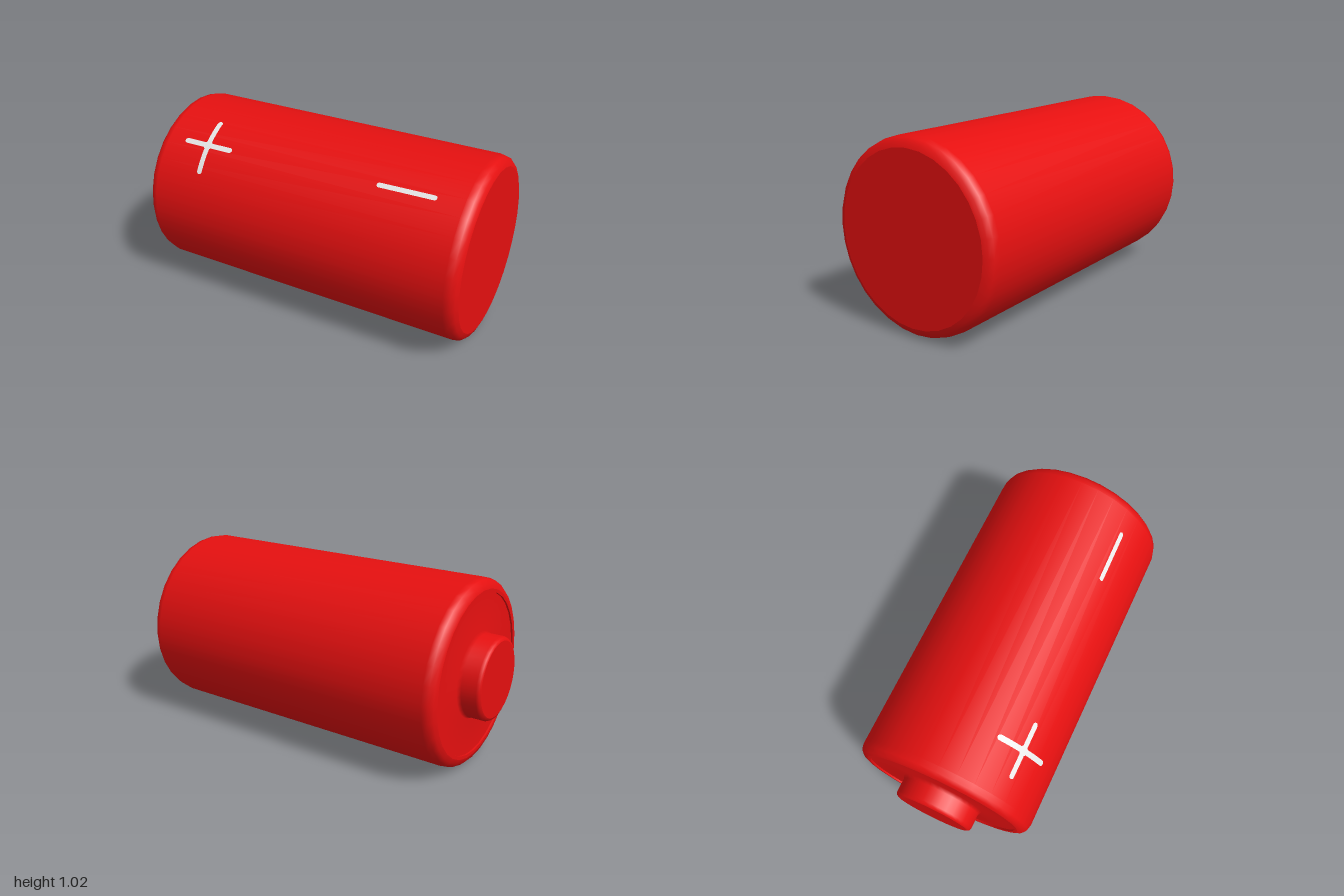
import * as THREE from 'three';

const RADIUS = 0.508, AXIS_Y = 0.509, SIDES = 32;

export function createModel() {
  const model = new THREE.Group();
  model.name = 'battery';
  const red = new THREE.MeshStandardMaterial({ color: 0xe61010 });
  red.name = 'red casing';
  const white = new THREE.MeshStandardMaterial({ color: 0xe7e7e7, side: THREE.DoubleSide });
  white.name = 'white marking';

  const add = (name, geometry, material) => {
    const mesh = new THREE.Mesh(geometry, material);
    mesh.name = name;
    mesh.position.y = AXIS_Y;
    model.add(mesh);
  };

  // Surface of revolution around the x axis; profile is [x, radius], from -x to +x
  const turned = (name, profile) => add(name, new THREE.LatheGeometry(
    profile.map(([x, r]) => new THREE.Vector2(r, x)), SIDES).rotateZ(-Math.PI / 2), red);

  // Main casing with rounded rims
  turned('casing', [
    [-0.89, 0.455], [-0.882, 0.48], [-0.862, 0.5], [-0.83, RADIUS],
    [0.935, RADIUS], [0.97, 0.5], [0.99, 0.48], [1, 0.455],
  ]);
  turned('flatEnd', [[1, 0.455], [1, 0]]);

  // Terminal end: rim, shallow step and recessed floor rising into the button
  turned('terminalRim', [[-0.89, 0.437], [-0.89, 0.455]]);
  turned('rimStep', [[-0.88, 0.437], [-0.89, 0.437]]);
  turned('terminalButton', [
    [-1, 0.205], [-0.994, 0.218], [-0.98, 0.225], [-0.9, 0.225], [-0.88, 0.235], [-0.88, 0.437],
  ]);
  turned('buttonTop', [[-1, 0], [-1, 0.205]]);

  // Round-ended stroke wrapped on the casing, between two [x, angle above +z] points
  const stroke = (name, from, to, width) => {
    const geometry = new THREE.PlaneGeometry(1, 1, 32, 1);
    const p = geometry.attributes.position;
    const r = RADIUS + 0.003, half = width / 2;
    const dx = to[0] - from[0], ds = (to[1] - from[1]) * r;
    const length = Math.hypot(dx, ds);
    for (let i = 0; i < p.count; i++) {
      const u = 0.5 - 0.5 * Math.cos((p.getX(i) + 0.5) * Math.PI);
      const toEnd = Math.min(u, 1 - u) * length;
      const round = toEnd < half ? Math.sqrt(Math.max(0, 1 - (1 - toEnd / half) ** 2)) : 1;
      const v = p.getY(i) * width * round;
      const x = from[0] + dx * u - (ds / length) * v;
      const a = from[1] + (ds * u + (dx / length) * v) / r;
      p.setXYZ(i, x, r * Math.sin(a), r * Math.cos(a));
    }
    geometry.computeVertexNormals();
    add(name, geometry, white);
  };

  // Polarity marks
  stroke('plusBar', [-0.717, 0.858], [-0.4, 0.862], 0.03);
  stroke('plusUpright', [-0.555, 0.525], [-0.565, 1.185], 0.031);
  stroke('plusCentre', [-0.587, 0.86], [-0.533, 0.86], 0.054);
  stroke('minusBar', [0.475, 0.9], [0.797, 0.912], 0.027);

  return model;
}
